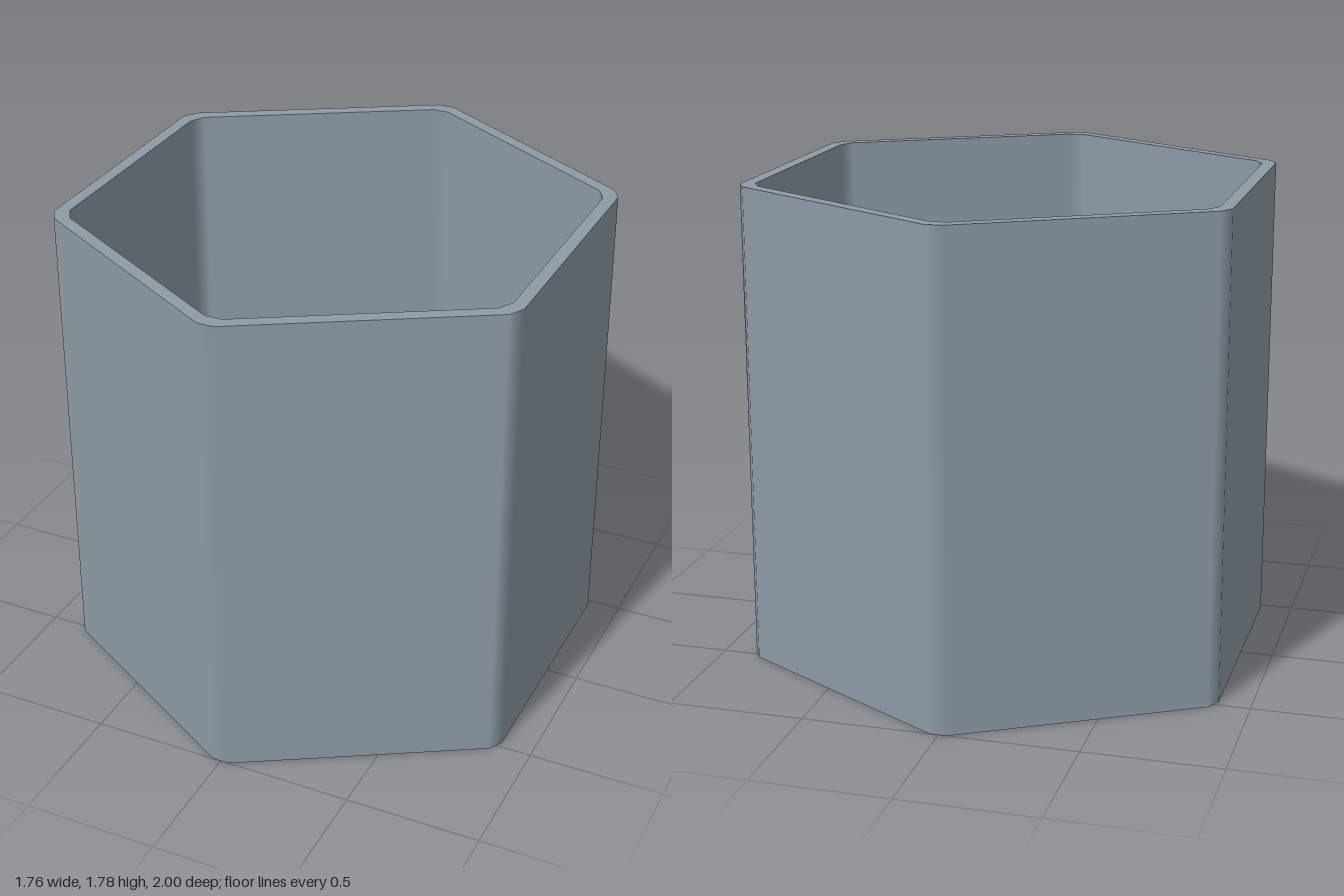
import * as THREE from 'three';

const HEIGHT = 1.782;
const FLOOR = 0.1;
const OUTER = 0.882; // centre to flat side
const INNER = 0.834;
const HOLE = 0.104;

// Hexagon with clipped corners, points facing front and back
function hexPoints(apothem, clip) {
  const pts = [];
  const half = apothem / Math.sqrt(3) - clip;
  for (let i = 0; i < 6; i++) {
    const a = (i * Math.PI) / 3;
    for (const s of [-half, half]) {
      pts.push(new THREE.Vector2(
        apothem * Math.cos(a) - s * Math.sin(a),
        apothem * Math.sin(a) + s * Math.cos(a)
      ));
    }
  }
  return pts;
}

// Extrude upward; keep big sides flat, blend the clipped corners and the round hole
function extrudeUp(shape, height) {
  const geo = new THREE.ExtrudeGeometry(shape, { depth: height, bevelEnabled: false, curveSegments: 32 });
  geo.rotateX(-Math.PI / 2);
  const p = geo.attributes.position;
  const n = geo.attributes.normal;
  for (let i = 0; i < p.count; i++) {
    if (Math.abs(n.getY(i)) > 0.5) continue;
    const x = p.getX(i), z = p.getZ(i);
    const sign = Math.sign(n.getX(i) * x + n.getZ(i) * z);
    let a = Math.atan2(z, x);
    if (Math.hypot(x, z) > 0.3) a = Math.round(a / (Math.PI / 3)) * (Math.PI / 3);
    n.setXYZ(i, sign * Math.cos(a), 0, sign * Math.sin(a));
  }
  return geo;
}

export function createModel() {
  const group = new THREE.Group();
  group.name = 'hexagonalPot';
  const material = new THREE.MeshStandardMaterial({ color: 0x8d9aa5 });
  material.name = 'blueGrey';

  // Thin hexagonal wall, open at the top
  const wallShape = new THREE.Shape(hexPoints(OUTER, 0.036));
  wallShape.holes.push(new THREE.Path(hexPoints(INNER, 0.036)));
  const wall = new THREE.Mesh(extrudeUp(wallShape, HEIGHT), material);
  wall.name = 'wall';

  // Floor with a round drain hole
  const floorShape = new THREE.Shape(hexPoints(INNER, 0.036));
  floorShape.holes.push(new THREE.Path().absarc(0, 0, HOLE, 0, Math.PI * 2, true));
  const floor = new THREE.Mesh(extrudeUp(floorShape, FLOOR), material);
  floor.name = 'floor';

  group.add(wall, floor);
  return group;
}
